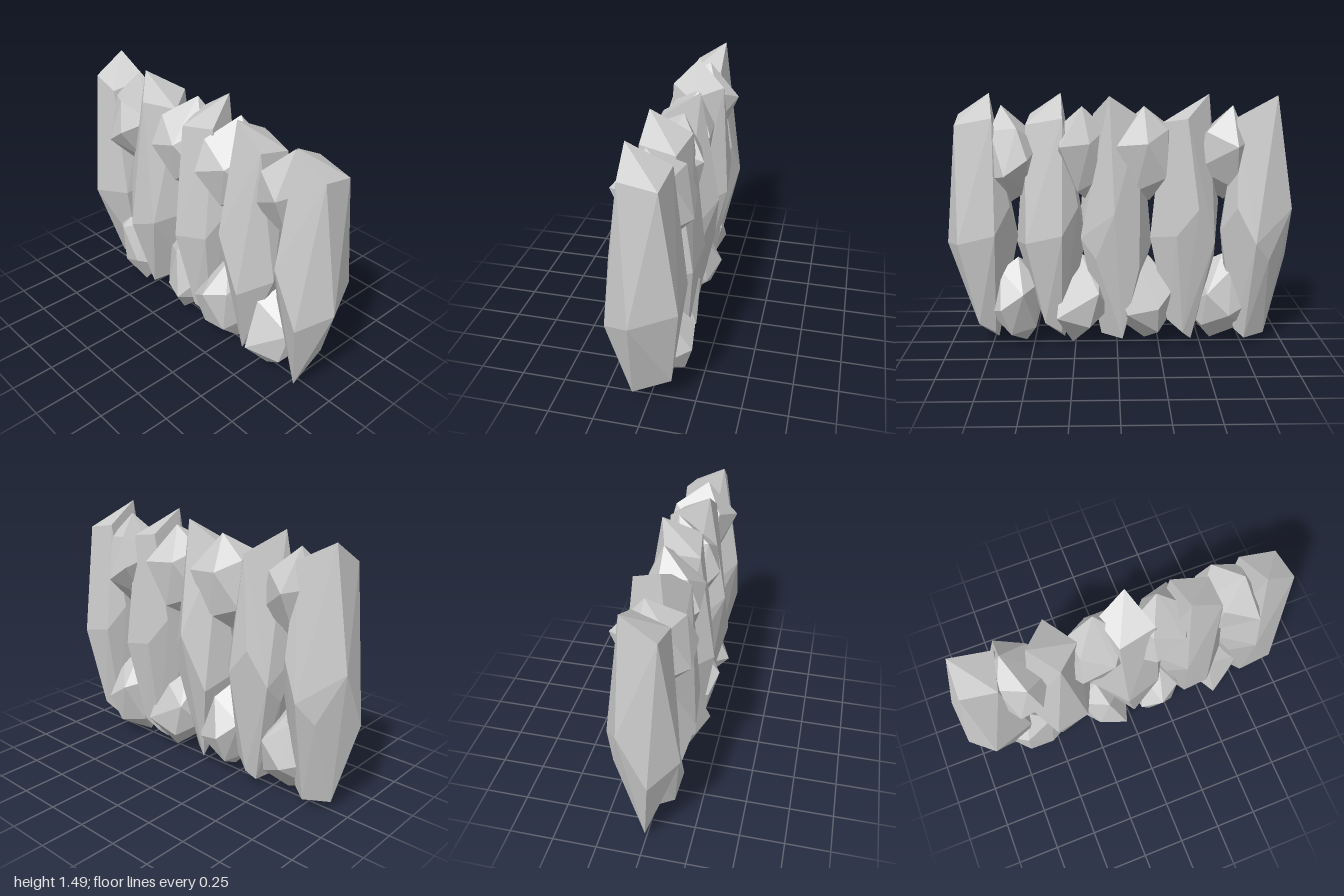
import * as THREE from 'three';
import { ConvexGeometry } from 'three/addons/geometries/ConvexGeometry.js';

// Corner points of the tall stone: crown, waist, foot
const PILLAR = [
  [-0.07, 1.49, 0.10], [0.11, 1.37, 0.09], [0.10, 1.33, -0.10], [-0.11, 1.37, -0.12],
  [0.20, 0.62, 0.04], [0.10, 0.67, -0.19], [0.08, 0.53, 0.20], [-0.07, 0.85, 0.21],
  [-0.22, 0.67, 0.01], [-0.19, 0.87, -0.10], [-0.11, 0.72, -0.19], [-0.15, 0.56, 0.09],
  [0.01, 0.05, 0.09], [-0.09, 0.05, -0.03], [0.01, 0.17, -0.13], [-0.08, 0.10, -0.09],
];

// Corner points of the small filler stone, pointed at its foot
const FILLER = [
  [-0.05, 0, 0.03], [0.10, 0.14, 0.10], [-0.06, 0.21, 0.21], [-0.14, 0.20, 0.06],
  [0.15, 0.35, 0.08], [-0.08, 0.47, 0.10], [-0.02, 0.55, -0.03], [0.08, 0.48, -0.07],
  [0.07, 0.28, -0.21], [-0.06, 0.37, -0.20], [0.02, 0.11, -0.16], [-0.14, 0.40, -0.08],
  [0.16, 0.22, -0.05], [-0.12, 0.13, -0.09],
];

const hull = (points) => new ConvexGeometry(points.map((p) => new THREE.Vector3(...p)));

export function createModel() {
  const wall = new THREE.Group();
  wall.name = 'stoneWall';
  const stone = new THREE.MeshStandardMaterial({ color: 0xcccccc, flatShading: true });
  const pillar = hull(PILLAR);
  const filler = hull(FILLER);
  const flipped = filler.clone().rotateX(Math.PI).translate(0, 1.43, 0);

  // Places one stone at x, turned about its upright axis
  const place = (name, geometry, x, turn) => {
    const mesh = new THREE.Mesh(geometry, stone);
    mesh.name = name;
    mesh.position.x = x;
    mesh.rotation.y = -THREE.MathUtils.degToRad(turn);
    wall.add(mesh);
  };

  // Row of tall stones
  [98, 48, 166, 6, 0].forEach((turn, i) => place(`pillarStone${i + 1}`, pillar, (i - 2) * 0.4, turn));

  // Lower and upper stones filling the gaps between them
  const gaps = [-0.6, -0.15, 0.21, 0.6];
  [270, 319, 205, 0].forEach((turn, i) => place(`lowerStone${i + 1}`, filler, gaps[i], turn));
  [0, 60, 45, 170].forEach((turn, i) => place(`upperStone${i + 1}`, flipped, gaps[i], turn));

  return wall;
}
